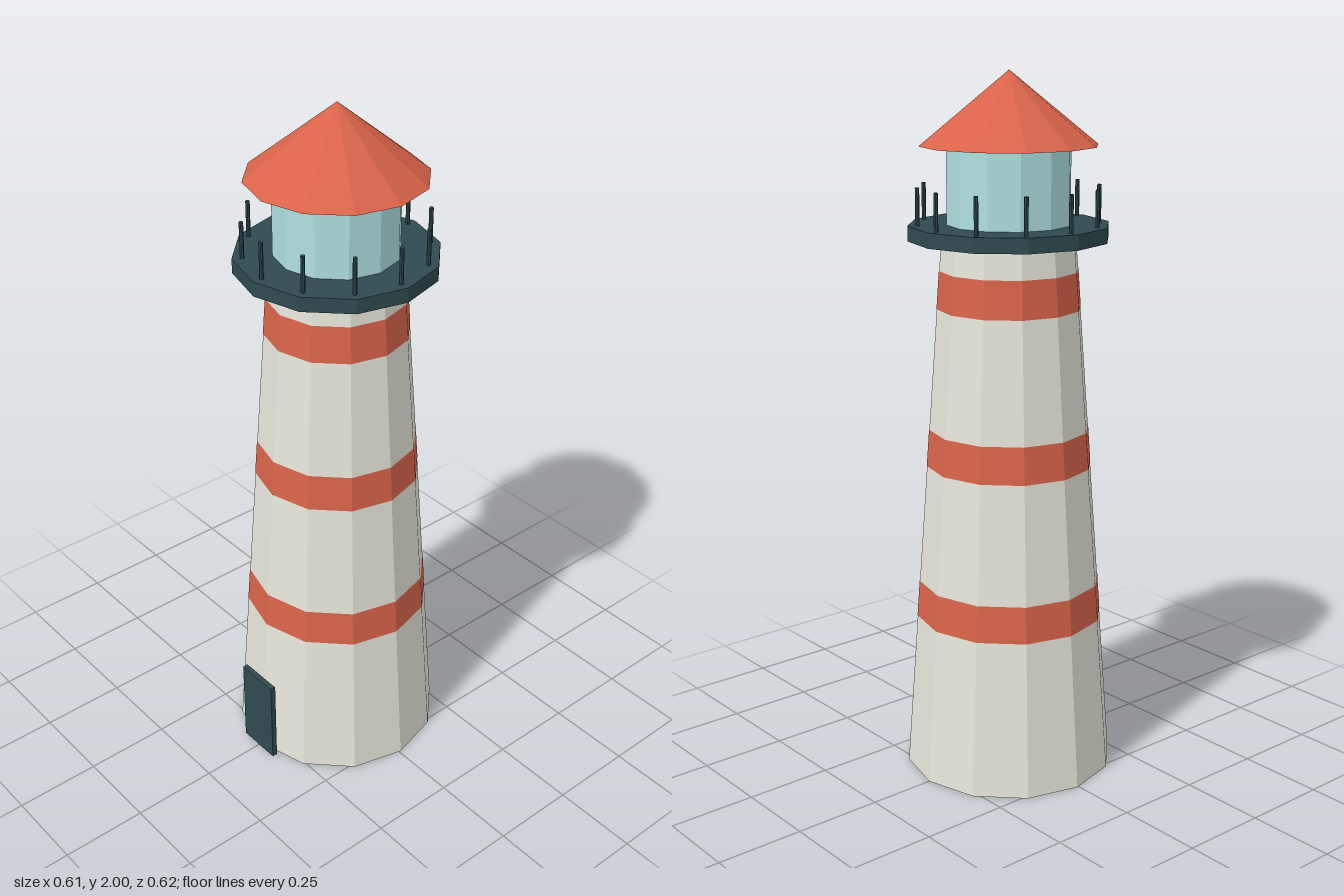
import * as THREE from 'three';

const SIDES = 12;
const AXIS_Z = -0.005; // tower axis; the door projects at the front

const paint = (color) => new THREE.MeshStandardMaterial({ color, flatShading: true });

export function createModel() {
  const group = new THREE.Group();
  const cream = paint(0xe6e6da);
  const red = paint(0xd9644a);
  const teal = paint(0x2f4a4f);
  const glass = paint(0xb0e0e0);

  // Upright round part between two heights
  function drum(name, rBottom, rTop, y0, y1, material, { sides = SIDES, open = false, x = 0, z = 0 } = {}) {
    const geometry = new THREE.CylinderGeometry(rTop, rBottom, y1 - y0, sides, 1, open);
    const mesh = new THREE.Mesh(geometry, material);
    mesh.name = name;
    mesh.position.set(x, (y0 + y1) / 2, AXIS_Z + z);
    group.add(mesh);
    return mesh;
  }

  // Tapered tower
  const baseR = 0.303, topR = 0.189, towerH = 1.545;
  const radiusAt = (y) => baseR + (topR - baseR) * (y / towerH);
  drum('tower', baseR, topR, 0, towerH, cream);

  // Painted bands, just proud of the wall
  for (let i = 0; i < 3; i++) {
    const y0 = 0.455 + i * 0.45, y1 = y0 + 0.106;
    drum('band', radiusAt(y0) + 0.001, radiusAt(y1) + 0.001, y0, y1, red, { open: true });
  }

  // Gallery deck, lantern room and roof
  drum('gallery', 0.281, 0.281, towerH, 1.587, teal);
  drum('lanternRoom', 0.173, 0.173, 1.587, 1.8, glass);
  const roof = new THREE.Mesh(new THREE.ConeGeometry(0.248, 0.2, SIDES), red);
  roof.name = 'roof';
  roof.position.set(0, 1.9, AXIS_Z);
  group.add(roof);

  // Railing posts, one at each corner of the deck
  for (let i = 0; i < SIDES; i++) {
    const a = (i / SIDES) * Math.PI * 2;
    drum('railingPost', 0.006, 0.006, 1.58, 1.69, teal,
      { sides: 8, x: Math.sin(a) * 0.253, z: Math.cos(a) * 0.253 });
  }

  // Door
  const door = new THREE.Mesh(new THREE.BoxGeometry(0.135, 0.27, 0.016), teal);
  door.name = 'door';
  door.position.set(0, 0.135, 0.3);
  group.add(door);

  return group;
}
